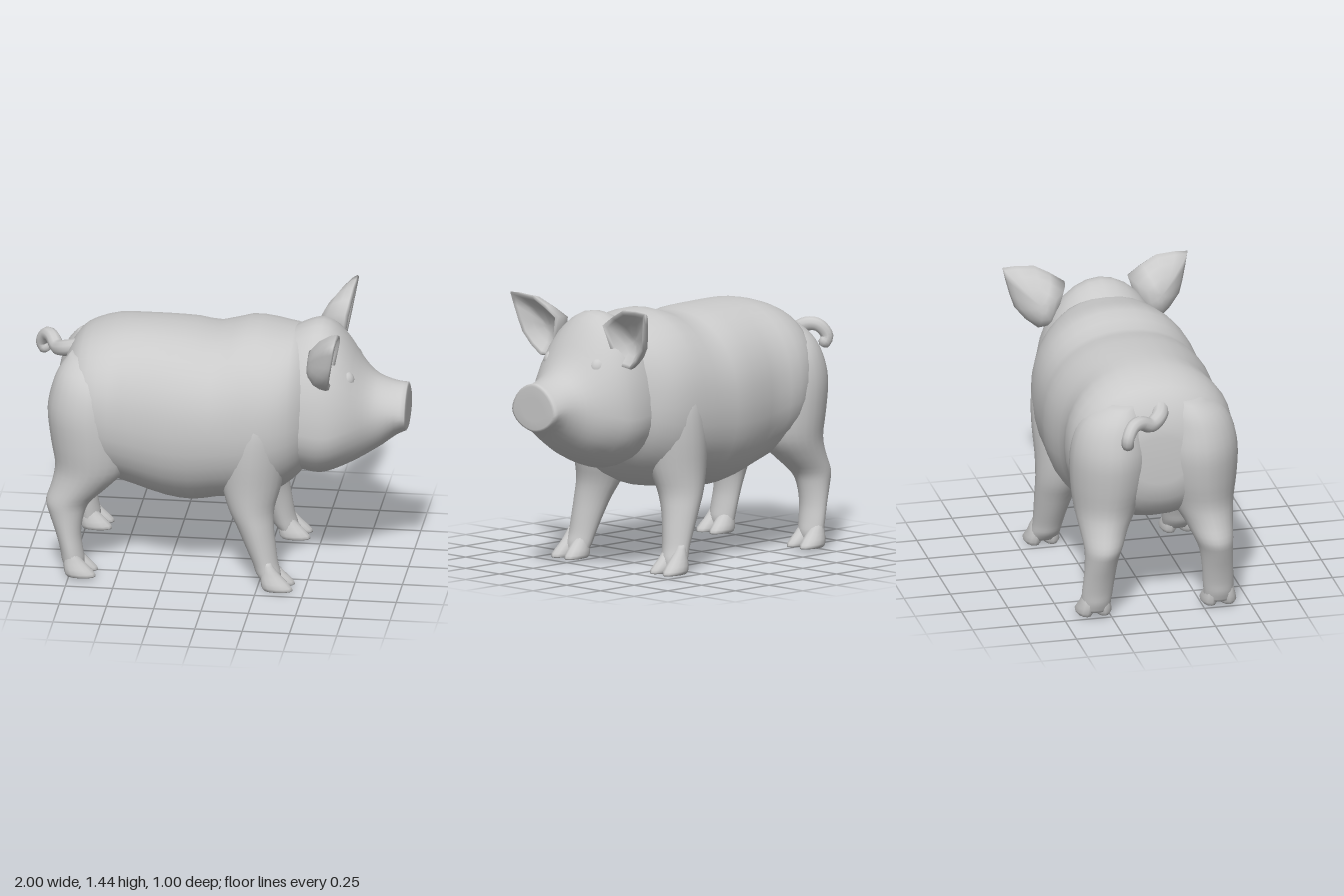
import * as THREE from 'three';

const skin = new THREE.MeshStandardMaterial({ color: 0xcacaca });
skin.name = 'grey skin';
const V = (x, y, z) => new THREE.Vector3(x, y, z);

// Closed skin over rings of points; side = -1 mirrors it across z.
function loft(name, rings, side = 1) {
  const n = rings[0].length, pos = [], idx = [];
  const tri = (a, b, c) => (side > 0 ? idx.push(a, b, c) : idx.push(a, c, b));
  const add = p => pos.push(p.x, p.y, p.z * side);
  rings.forEach(r => r.forEach(add));
  for (let i = 0; i < rings.length - 1; i++) {
    for (let j = 0; j < n; j++) {
      const k = (j + 1) % n, a = i * n + j, b = i * n + k;
      tri(a, b, a + n);
      tri(b, b + n, a + n);
    }
  }
  [0, rings.length - 1].forEach((i, end) => {
    const c = pos.length / 3;
    add(rings[i].reduce((s, p) => s.add(p), V(0, 0, 0)).divideScalar(n));
    for (let j = 0; j < n; j++) {
      const a = i * n + j, b = i * n + (j + 1) % n;
      if (end) tri(c, a, b); else tri(c, b, a);
    }
  });
  const g = new THREE.BufferGeometry();
  g.setAttribute('position', new THREE.Float32BufferAttribute(pos, 3));
  g.setIndex(idx);
  g.computeVertexNormals();
  const m = new THREE.Mesh(g, skin);
  m.name = name;
  return m;
}

// Spline through rows of numbers, giving steps rows per gap.
function refine(rows, steps) {
  const curves = rows[0].map((_, c) => new THREE.SplineCurve(rows.map((r, i) => new THREE.Vector2(i, r[c]))));
  const count = (rows.length - 1) * steps;
  return Array.from({ length: count + 1 }, (_, i) => curves.map(c => c.getPoint(i / count).y));
}

const bend = (v, p) => Math.sign(v) * Math.abs(v) ** (2 / p);

// Upright section: x, bottom, top, half width, height of the widest point.
function sectionX([x, y0, y1, w, yw], n, p) {
  return Array.from({ length: n }, (_, j) => {
    const t = j / n * Math.PI * 2, c = bend(Math.cos(t), p);
    return V(x, yw + c * (c > 0 ? y1 - yw : yw - y0), w * bend(Math.sin(t), p));
  });
}

// Level section: y, x range, z range.
function sectionY([y, x0, x1, z0, z1], n, p) {
  return Array.from({ length: n }, (_, j) => {
    const t = j / n * Math.PI * 2;
    return V((x0 + x1) / 2 + (x1 - x0) / 2 * bend(Math.sin(t), p), y,
      (z0 + z1) / 2 + (z1 - z0) / 2 * bend(Math.cos(t), p));
  });
}

const limb = (name, rows, side, n = 24, steps = 3, p = 1.85) =>
  loft(name, refine(rows, steps).map(r => sectionY(r, n, p)), side);

// Two splayed toes growing out of the ankle, with the heel at x and the inner side at z.
function addToes(group, name, x, y, z, side) {
  [0, 1].forEach(i => {
    const a = z + i * 0.083, b = a + 0.085, inner = i ? 0 : 0.01, outer = i ? 0.015 : 0;
    group.add(limb(name, [
      [y, x + 0.005, x + 0.16, a - inner + 0.01, b + outer - 0.01],
      [y + 0.02, x - 0.005, x + 0.155, a - inner, b + outer],
      [y + 0.07, x - 0.01, x + 0.105, a, b],
      [y + 0.11, x, x + 0.07, a + 0.01, b - 0.01],
      [y + 0.15, x + 0.005, x + 0.045, a + 0.025, b - 0.025],
    ], side, 12, 2, 2));
  });
}

// Cupped ear: the outline is swept from the bulging back to the rim and into the hollow.
function ear(side) {
  const outline = [[1.335, 0.17], [1.388, 0.25], [1.43, 0.33], [1.436, 0.43], [1.432, 0.5], [1.375, 0.488],
    [1.29, 0.467], [1.222, 0.445], [1.155, 0.39], [1.108, 0.33], [1.12, 0.245], [1.2, 0.21]];
  const cy = 1.25, cz = 0.32;
  const layers = [[0.2, -0.13], [0.5, -0.12], [0.8, -0.085], [0.95, -0.045], [1, -0.01],
    [0.96, 0.005], [0.85, -0.01], [0.55, -0.055], [0.2, -0.075]];
  return loft('ear', layers.map(([s, dx]) => outline.map(([y, z]) => {
    const yy = cy + (y - cy) * s, zz = cz + (z - cz) * s;
    return V(0.64 + dx * (1 - 2.5 * (zz - cz)) + (yy - cy) * 0.18, yy, zz);
  })), side);
}

export function createModel() {
  const pig = new THREE.Group();
  pig.name = 'pig';

  // Barrel body with a dip behind the shoulders
  const body = [
    [-0.82, 0.76, 1.02, 0.15, 0.9], [-0.8, 0.66, 1.13, 0.25, 0.92], [-0.74, 0.57, 1.235, 0.35, 0.92],
    [-0.66, 0.52, 1.285, 0.418, 0.92], [-0.54, 0.48, 1.32, 0.45, 0.9], [-0.41, 0.43, 1.33, 0.43, 0.87],
    [-0.26, 0.385, 1.328, 0.45, 0.85], [-0.12, 0.37, 1.32, 0.463, 0.85], [0, 0.39, 1.305, 0.455, 0.85],
    [0.16, 0.405, 1.35, 0.449, 0.86], [0.27, 0.42, 1.345, 0.44, 0.87], [0.36, 0.47, 1.33, 0.415, 0.88],
    [0.44, 0.54, 1.315, 0.365, 0.89], [0.5, 0.62, 1.25, 0.29, 0.9],
  ];
  pig.add(loft('body', refine(body, 2).map(r => sectionX(r, 36, 2.2))));

  // Head tapering to the snout, closed by a flat nose
  const head = [
    [0.32, 0.64, 1.28, 0.27, 0.88], [0.4, 0.575, 1.325, 0.325, 0.86], [0.48, 0.55, 1.365, 0.342, 0.85],
    [0.55, 0.543, 1.378, 0.345, 0.84], [0.62, 0.565, 1.345, 0.335, 0.84], [0.69, 0.595, 1.26, 0.302, 0.86],
    [0.75, 0.625, 1.165, 0.258, 0.87], [0.81, 0.66, 1.095, 0.21, 0.88], [0.87, 0.7, 1.06, 0.182, 0.89],
    [0.94, 0.755, 1.042, 0.167, 0.9], [0.995, 0.785, 1.04, 0.16, 0.89],
  ];
  const nose = [0.9, 0.5, 0.2].map(s => [1, 0.89 - 0.105 * s, 0.89 + 0.15 * s, 0.16 * s, 0.89]);
  const shape = x => 2 - 0.25 * THREE.MathUtils.smoothstep(x, 0.85, 1);
  pig.add(loft('head', [...refine(head, 2), ...nose].map(r => sectionX(r, 32, shape(r[0])))));

  for (const side of [1, -1]) {
    // Front legs rising into the shoulders
    pig.add(limb('frontLeg', [
      [0.03, 0.275, 0.37, 0.285, 0.435], [0.075, 0.24, 0.37, 0.275, 0.434], [0.13, 0.22, 0.355, 0.265, 0.428],
      [0.22, 0.18, 0.342, 0.245, 0.428], [0.32, 0.135, 0.33, 0.215, 0.43], [0.42, 0.085, 0.33, 0.17, 0.43],
      [0.55, 0.05, 0.365, 0.12, 0.434], [0.72, 0.05, 0.39, 0.1, 0.448], [0.88, 0.08, 0.39, 0.1, 0.445],
      [1.0, 0.13, 0.35, 0.12, 0.405], [1.1, 0.2, 0.3, 0.18, 0.32],
    ], side));
    addToes(pig, 'frontToe', 0.28, 0, 0.28, side);

    // Hind legs rising into the rounded hams
    pig.add(limb('hindLeg', [
      [0.04, -0.77, -0.68, 0.255, 0.405], [0.09, -0.79, -0.67, 0.25, 0.408], [0.15, -0.8, -0.68, 0.243, 0.408],
      [0.24, -0.825, -0.69, 0.235, 0.402], [0.34, -0.86, -0.675, 0.22, 0.398], [0.41, -0.878, -0.64, 0.195, 0.4],
      [0.5, -0.85, -0.54, 0.15, 0.412], [0.6, -0.835, -0.45, 0.09, 0.428], [0.74, -0.86, -0.42, 0.04, 0.445],
      [0.9, -0.878, -0.42, 0.02, 0.448], [1.03, -0.855, -0.44, 0.03, 0.42], [1.12, -0.82, -0.48, 0.04, 0.36],
      [1.19, -0.765, -0.54, 0.07, 0.26],
    ], side));
    addToes(pig, 'hindToe', -0.765, 0.015, 0.25, side);

    pig.add(ear(side));

    // Low brow over each eye
    const brow = new THREE.Mesh(new THREE.SphereGeometry(0.06, 18, 12), skin);
    brow.name = 'brow';
    brow.scale.set(0.9, 0.9, 0.8);
    brow.position.set(0.682, 1.11, 0.168 * side);
    pig.add(brow);
  }

  // Curly tail, thinning to a rounded tip
  const path = new THREE.CatmullRomCurve3([
    V(-0.72, 1.17, 0.02), V(-0.81, 1.14, -0.01), V(-0.865, 1.12, -0.07), V(-0.9, 1.15, -0.13),
    V(-0.935, 1.145, -0.18), V(-0.965, 1.085, -0.215), V(-0.935, 1.035, -0.205),
  ]);
  const frames = path.computeFrenetFrames(30);
  pig.add(loft('tail', frames.tangents.map((_, i) => {
    const t = i / 30, r = (0.046 - 0.014 * t) * (i === 30 ? 0.5 : 1), c = path.getPointAt(t);
    return Array.from({ length: 10 }, (_, j) => {
      const a = j / 10 * Math.PI * 2;
      return c.clone().addScaledVector(frames.normals[i], r * Math.cos(a))
        .addScaledVector(frames.binormals[i], r * Math.sin(a));
    });
  })));

  return pig;
}
